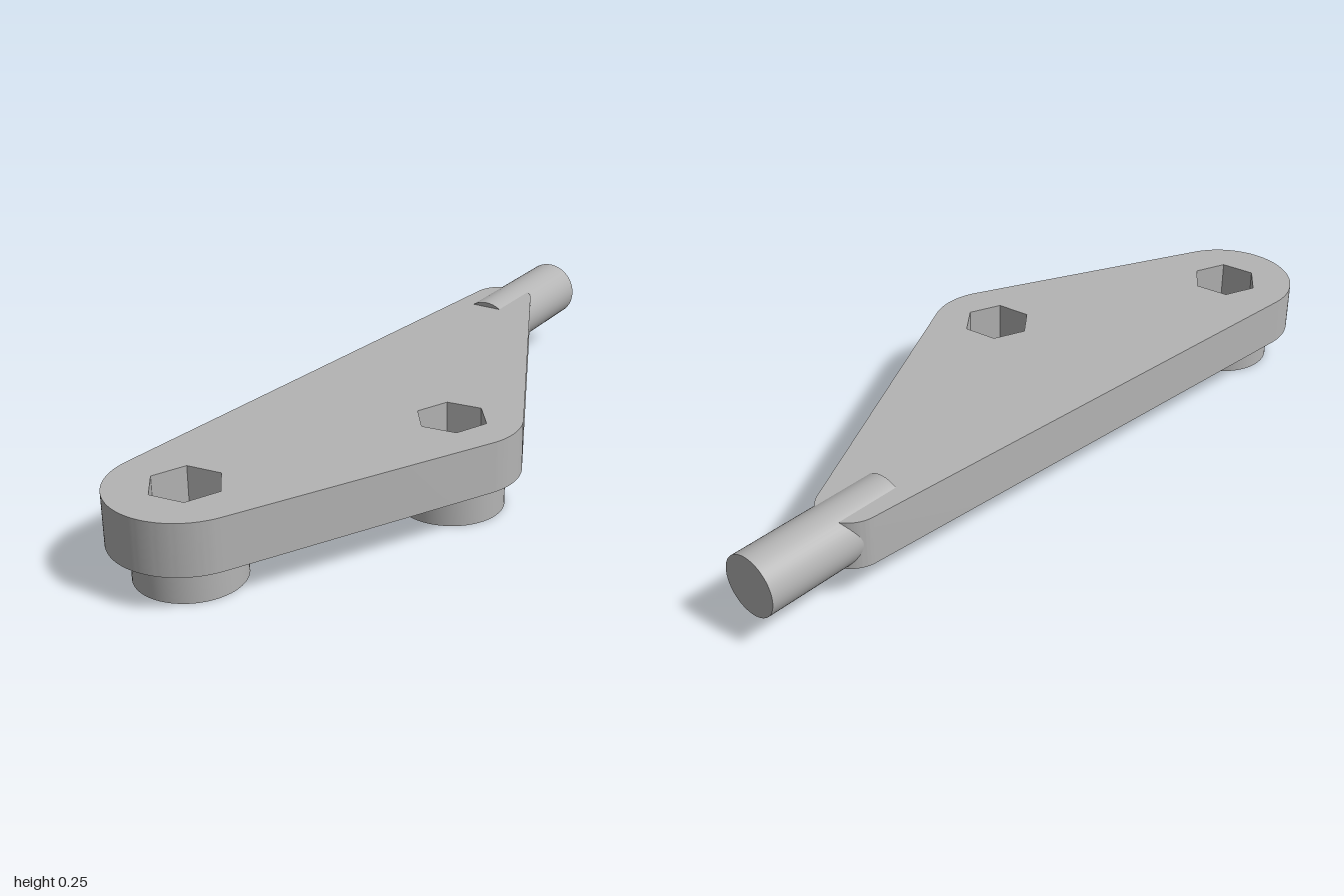
import * as THREE from 'three';
import { toCreasedNormals } from 'three/addons/utils/BufferGeometryUtils.js';

const PLATE_BOTTOM = 0.1, PLATE_TOP = 0.236;

// Corner circles of the plate, counter-clockwise from above, y = -z
const corners = [
  { x: -0.2, y: -0.807, r: 0.193 },
  { x: 0.2125, y: -0.215, r: 0.18 },
  { x: 0.005, y: 0.68, r: 0.085 },
];
const bolts = corners.slice(0, 2);

// Angle of the outer tangent's normal between two circles
function tangentAngle(a, b) {
  const dx = b.x - a.x, dy = b.y - a.y;
  return Math.atan2(dy, dx) - Math.acos((a.r - b.r) / Math.hypot(dx, dy));
}

// Rounded outline wrapped around the corner circles
function wrapCircles(list) {
  const shape = new THREE.Shape();
  list.forEach((c, i) => {
    const n = list.length;
    const start = tangentAngle(list[(i + n - 1) % n], c);
    const end = tangentAngle(c, list[(i + 1) % n]);
    shape.absarc(c.x, c.y, c.r, start, end, false);
  });
  return shape;
}

function hexHole(x, y, r) {
  const points = [];
  for (let i = 0; i < 6; i++) {
    const a = -i * Math.PI / 3;
    points.push(new THREE.Vector2(x + r * Math.cos(a), y + r * Math.sin(a)));
  }
  return new THREE.Path(points);
}

// Extrude a plan shape upwards between two heights
function slab(shape, bottom, top) {
  const geo = new THREE.ExtrudeGeometry(shape, { depth: top - bottom, bevelEnabled: false, curveSegments: 32 });
  geo.rotateX(-Math.PI / 2).translate(0, bottom, 0);
  return toCreasedNormals(geo, 0.5);
}

export function createModel() {
  const group = new THREE.Group();
  const grey = new THREE.MeshStandardMaterial({ color: 0xb4b4b4 });
  grey.name = 'plain grey';

  const add = (name, geo) => {
    const mesh = new THREE.Mesh(geo, grey);
    mesh.name = name;
    group.add(mesh);
    return mesh;
  };

  // Arm plate with hexagonal nut pockets
  const outline = wrapCircles(corners);
  bolts.forEach(b => outline.holes.push(hexHole(b.x, b.y, 0.094)));
  add('armPlate', slab(outline, PLATE_BOTTOM, PLATE_TOP));

  // Round spacers with bolt holes; their tops are the pocket floors
  bolts.forEach((b, i) => {
    const ring = new THREE.Shape().absarc(b.x, b.y, 0.138, 0, Math.PI * 2, false);
    ring.holes.push(new THREE.Path().absarc(b.x, b.y, 0.05, 0, Math.PI * 2, true));
    add(i ? 'middleSpacer' : 'frontSpacer', slab(ring, 0, PLATE_BOTTOM));
  });

  // Slightly angled rod set into the narrow end
  const inner = new THREE.Vector3(-0.005, 0.167, -0.57);
  const outer = new THREE.Vector3(0.05, 0.167, -0.99);
  const axis = outer.clone().sub(inner);
  const rod = add('rod', new THREE.CylinderGeometry(0.082, 0.082, axis.length(), 48));
  rod.position.copy(inner).add(outer).multiplyScalar(0.5);
  rod.quaternion.setFromUnitVectors(new THREE.Vector3(0, 1, 0), axis.normalize());

  return group;
}
